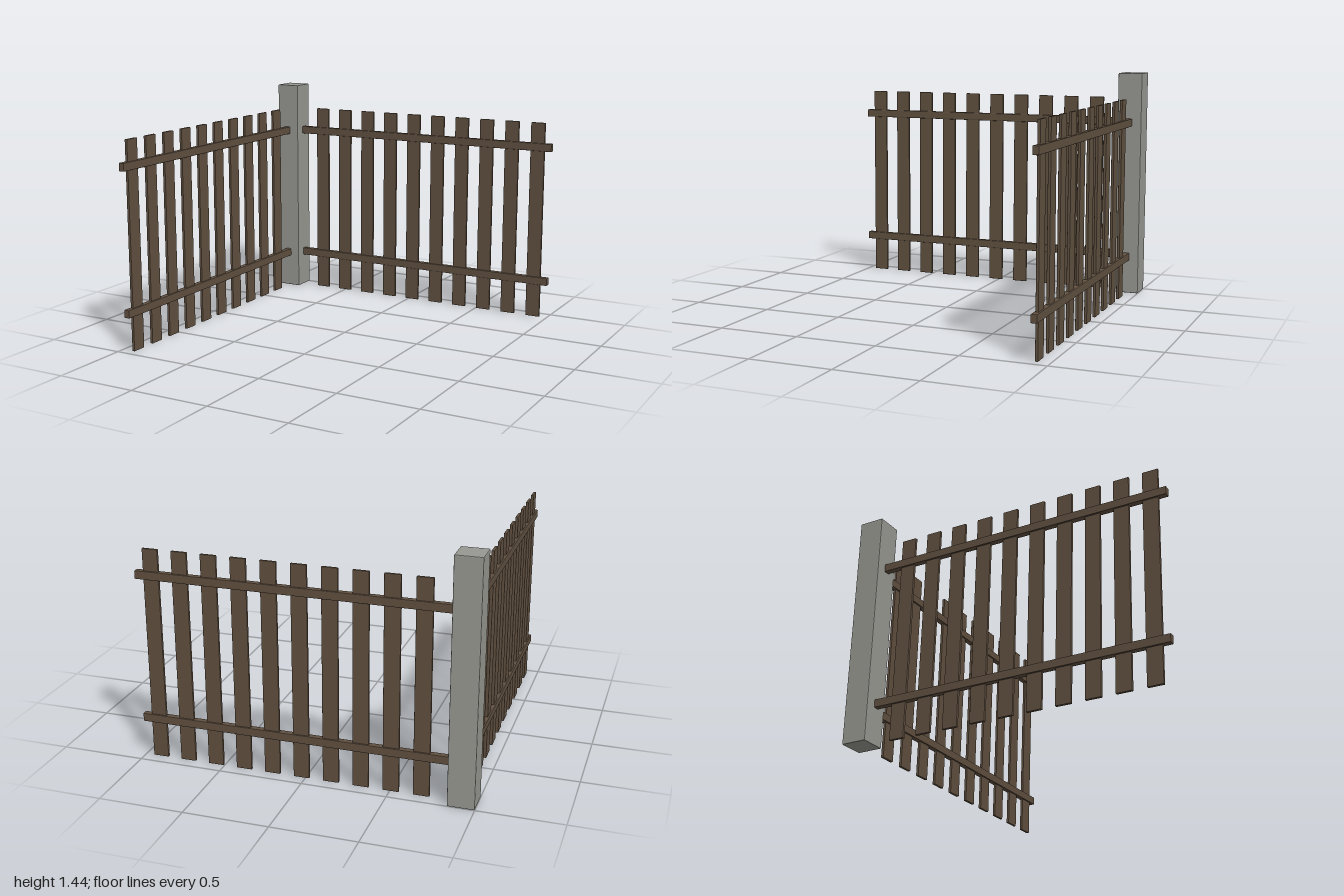
import * as THREE from 'three';
import { RoundedBoxGeometry } from 'three/addons/geometries/RoundedBoxGeometry.js';

const stone = new THREE.MeshStandardMaterial({ color: 0x979891, flatShading: true });
const wood = new THREE.MeshStandardMaterial({ color: 0x605040, flatShading: true });

// Box with a small chamfer on every edge
function beam(name, w, h, d, x, y, z, material, bevel) {
  const mesh = new THREE.Mesh(new RoundedBoxGeometry(w, h, d, 1, bevel), material);
  mesh.geometry.computeVertexNormals();
  mesh.name = name;
  mesh.position.set(x, y, z);
  return mesh;
}

// One straight run of fence along x, centred on z = 0
function fencePanel(name) {
  const panel = new THREE.Group();
  panel.name = name;
  for (const [rail, y] of [['lowerRail', 0.243], ['upperRail', 1.123]]) {
    panel.add(beam(rail, 1.842, 0.05, 0.037, 0.079, y, 0, wood, 0.004));
  }
  for (let i = 0; i < 10; i++) {
    panel.add(beam('picket', 0.095, 1.28, 0.018, -0.681 + i * 0.176, 0.64, 0, wood, 0.004));
  }
  return panel;
}

export function createModel() {
  const model = new THREE.Group();
  model.name = 'cornerFence';
  const corner = -0.922;

  // Stone corner post
  model.add(beam('cornerPost', 0.156, 1.44, 0.156, corner, 0.72, corner, stone, 0.005));

  // Two identical panels meeting at the post
  const back = fencePanel('backPanel');
  back.position.z = corner;
  const side = fencePanel('sidePanel');
  side.rotation.y = -Math.PI / 2;
  side.position.x = corner;
  model.add(back, side);
  return model;
}
